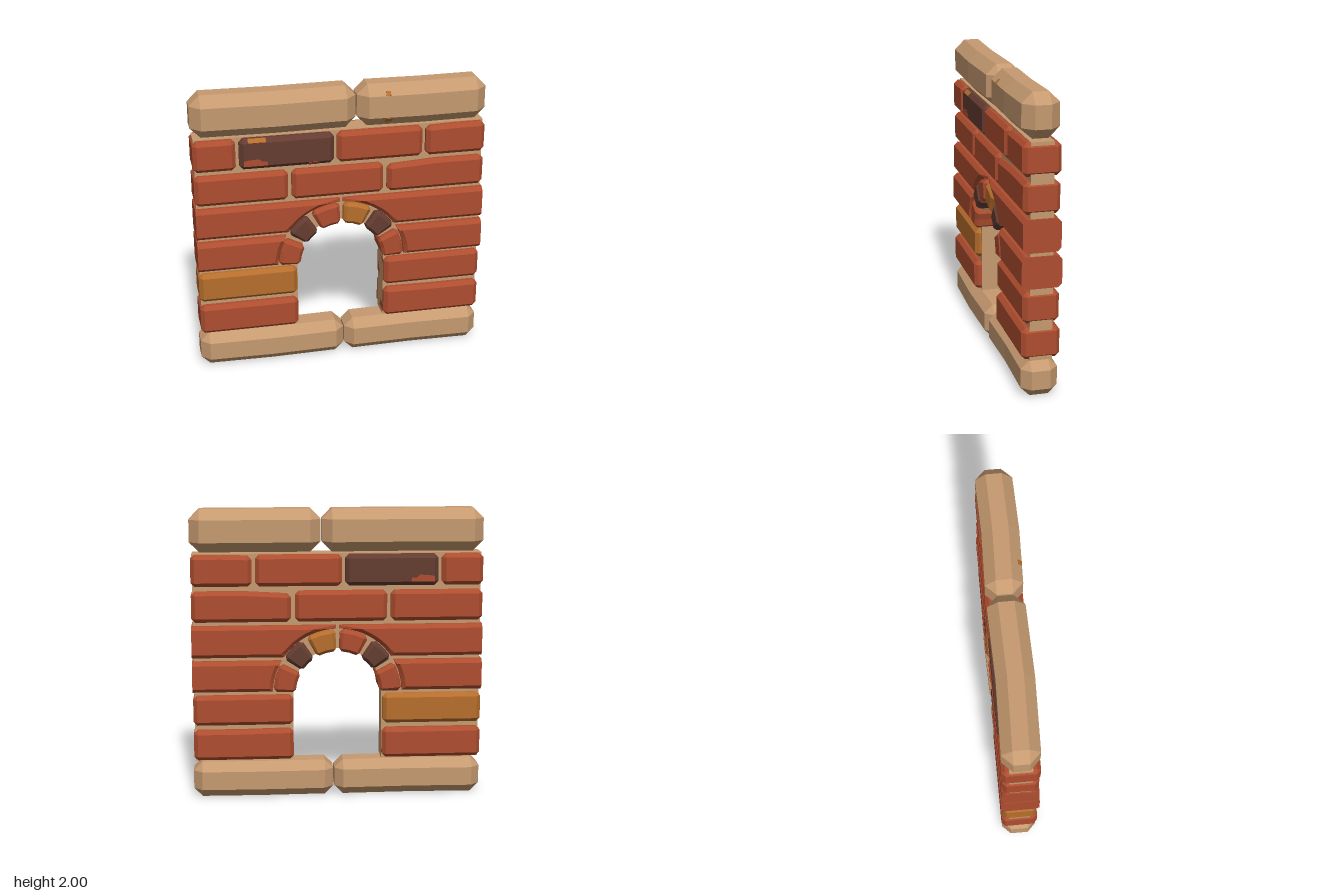
import * as THREE from 'three';

const mat = (name, color) => {
  const m = new THREE.MeshStandardMaterial({ color });
  m.name = name;
  return m;
};

const ARCH_Y = 0.74; // centre height of the round arch
const clamp = THREE.MathUtils.clamp;

// Flat-faced block along x with chamfered edges; bend shifts its middle in z,
// sag lowers its top corner at the x0 end.
function block(x0, x1, y0, y1, hz, c, { bend = 0, sag = 0 } = {}) {
  const hy = (y1 - y0) / 2, cy = (y0 + y1) / 2;
  const ring = [
    [hy, -hz + c], [hy, hz - c], [hy - c, hz], [-hy + c, hz],
    [-hy, hz - c], [-hy, -hz + c], [-hy + c, -hz], [hy - c, -hz],
  ];
  const xs = [x0, x0 + c, (x0 + x1) / 2, x1 - c, x1];
  const pos = [], idx = [];
  xs.forEach((x, i) => {
    const end = i === 0 || i === 4;
    ring.forEach(([y, z]) => {
      if (end) {
        y = clamp(y, -hy + c, hy - c);
        z = clamp(z, -hz + c, hz - c);
      }
      const drop = i < 2 && y > 0 ? sag : 0;
      pos.push(x, cy + y - drop, z + (i === 2 ? bend : 0));
    });
  });
  for (let i = 0; i < 4; i++) {
    for (let j = 0; j < 8; j++) {
      const k = (j + 1) % 8, a = i * 8 + j, b = i * 8 + k;
      idx.push(a, b, b + 8, a, b + 8, a + 8);
    }
  }
  for (let j = 1; j < 7; j++) {
    idx.push(0, j + 1, j, 32, 32 + j, 33 + j);
  }
  const g = new THREE.BufferGeometry();
  g.setAttribute('position', new THREE.Float32BufferAttribute(pos, 3));
  g.setIndex(idx);
  const flat = g.toNonIndexed();
  flat.computeVertexNormals();
  return flat;
}

// Long brick on the -x side whose inner end is cut by the arch
function archBrick(y0, y1, hz) {
  const R = 0.445, c = 0.026;
  const a0 = Math.asin((y0 - ARCH_Y) / R);
  const a1 = Math.min(Math.asin(Math.min((y1 - ARCH_Y) / R, 1)), Math.PI / 2 - 0.025);
  const s = new THREE.Shape();
  s.moveTo(-0.995, y1);
  s.lineTo(-0.995, y0);
  for (let i = 0; i <= 10; i++) {
    const a = a0 + (a1 - a0) * i / 10;
    s.lineTo(-R * Math.cos(a), ARCH_Y + R * Math.sin(a));
  }
  if (y1 > ARCH_Y + R) s.lineTo(-0.011, y1);
  const g = new THREE.ExtrudeGeometry(s, { depth: 3, steps: 3, bevelEnabled: false });
  const p = g.attributes.position;
  const layers = [-hz, -hz + c, hz - c, hz];
  for (let i = 0; i < p.count; i++) {
    let x = p.getX(i), y = p.getY(i);
    const layer = Math.round(p.getZ(i));
    if (layer === 0 || layer === 3) {
      // inset the outer faces to form the chamfer
      const r = Math.hypot(x, y - ARCH_Y);
      if (r < R + c) {
        x *= (R + c) / r;
        y = ARCH_Y + (y - ARCH_Y) * (R + c) / r;
      }
      y = clamp(y, y0 + c, y1 - c);
      if (x > -0.165) x = -0.165;
    }
    p.setXYZ(i, x, y, layers[layer]);
  }
  g.computeVertexNormals();
  return g;
}

// Arch stone: a block bent around the arch centre, angles clockwise from the top
function archStone(d0, d1) {
  const r = 0.36, k = Math.PI / 180 * r;
  const g = block(d0 * k, d1 * k, 0.288, 0.44, 0.128, 0.022);
  const p = g.attributes.position;
  for (let i = 0; i < p.count; i++) {
    const a = p.getX(i) / r, q = p.getY(i);
    p.setXY(i, q * Math.sin(a), ARCH_Y + q * Math.cos(a));
  }
  g.computeVertexNormals();
  return g;
}

export function createModel() {
  const model = new THREE.Group();
  model.name = 'brickArchWall';
  const tan = mat('sandstone', 0xc69a70);
  const red = mat('redBrick', 0xae4d2f);
  const dark = mat('darkBrick', 0x643c31);
  const orange = mat('ochreBrick', 0xb66e2c);
  const add = (name, geometry, material) => {
    const m = new THREE.Mesh(geometry, material);
    m.name = name;
    model.add(m);
    return m;
  };

  // Mortar core with the doorway cut out
  const core = new THREE.Shape();
  core.moveTo(-0.985, 0.262);
  core.lineTo(-0.305, 0.262);
  core.lineTo(-0.305, ARCH_Y);
  core.absarc(0, ARCH_Y, 0.305, Math.PI, 0, true);
  core.lineTo(0.305, 0.262);
  core.lineTo(0.985, 0.262);
  core.lineTo(0.985, 1.7);
  core.lineTo(-0.985, 1.7);
  const coreGeo = new THREE.ExtrudeGeometry(core, { depth: 0.15, bevelEnabled: false, curveSegments: 16 });
  add('mortarCore', coreGeo.translate(0, 0, -0.075), tan);

  // Base and cap stones
  [[-1, 0.02, 0, 0.248, 0.01], [0.028, 1, 0, 0.248, -0.008],
    [-1, 0.105, 1.708, 2, 0.012], [0.113, 1, 1.708, 2, 0.01]].forEach(([x0, x1, y0, y1, bend]) =>
    add(y0 ? 'capStone' : 'baseStone', block(x0, x1, y0, y1, 0.122, y0 ? 0.07 : 0.06, { bend }), tan));

  // Straight bricks: x0, x1, colour, sag
  const rows = [
    [1.48, 1.695, 0.125, [[-0.995, -0.712, red], [-0.688, -0.052, dark], [-0.03, 0.558, red], [0.582, 0.993, red, 0.006]]],
    [1.235, 1.448, 0.12, [[-0.995, -0.365, red], [-0.34, 0.29, red], [0.318, 0.993, red, 0.018]]],
    [0.515, 0.725, 0.12, [[-0.995, -0.312, orange], [0.305, 0.993, red]]],
    [0.27, 0.482, 0.127, [[-0.995, -0.308, red], [0.305, 0.993, red, -0.006]]],
  ];
  for (const [y0, y1, hz, bricks] of rows) {
    for (const [x0, x1, m, sag] of bricks) add('brick', block(x0, x1, y0, y1, hz, 0.027, { sag }), m);
  }

  // Bricks cut around the arch, both sides
  for (const [y0, y1, hz] of [[0.99, 1.21, 0.125], [0.752, 0.965, 0.132]]) {
    add('archBrickRight', archBrick(y0, y1, hz), red);
    add('archBrickLeft', archBrick(y0, y1, hz).rotateY(Math.PI), red);
  }

  // Arch stones
  [[-89, -62, red], [-57, -34, dark], [-29, -2, red]].forEach(([a, b, m]) => {
    add('archStone', archStone(a, b), m);
    add('archStone', archStone(-b, -a), a === -29 ? orange : m);
  });

  // Worn patches on the dark brick, front and back
  const worn = new THREE.Shape();
  [[-0.66, 1.507], [-0.5, 1.507], [-0.505, 1.535], [-0.54, 1.535], [-0.56, 1.555], [-0.63, 1.55], [-0.66, 1.545]]
    .forEach(([x, y], i) => (i ? worn.lineTo(x, y) : worn.moveTo(x, y)));
  const wornGeo = new THREE.ExtrudeGeometry(worn, { depth: 0.004, bevelEnabled: false });
  add('wornPatch', wornGeo, red).position.z = 0.123;
  add('wornPatch', wornGeo, red).position.z = -0.127;

  // Small plates lying on chamfered edges: x, y, z, width, height, tilt, colour
  [[-0.57, 1.6815, 0.1115, 0.12, 0.034, -1, orange],
    [-0.19, 1.4935, 0.1115, 0.07, 0.034, 1, red],
    [0.315, 1.943, 0.112, 0.032, 0.035, -1, orange],
    [0.32, 1.753, 0.099, 0.05, 0.045, 1, orange]].forEach(([x, y, z, w, h, t, m]) => {
    const plate = add('edgePatch', new THREE.BoxGeometry(w, h, 0.006), m);
    plate.position.set(x, y, z);
    plate.rotation.x = t * Math.PI / 4;
  });

  return model;
}
